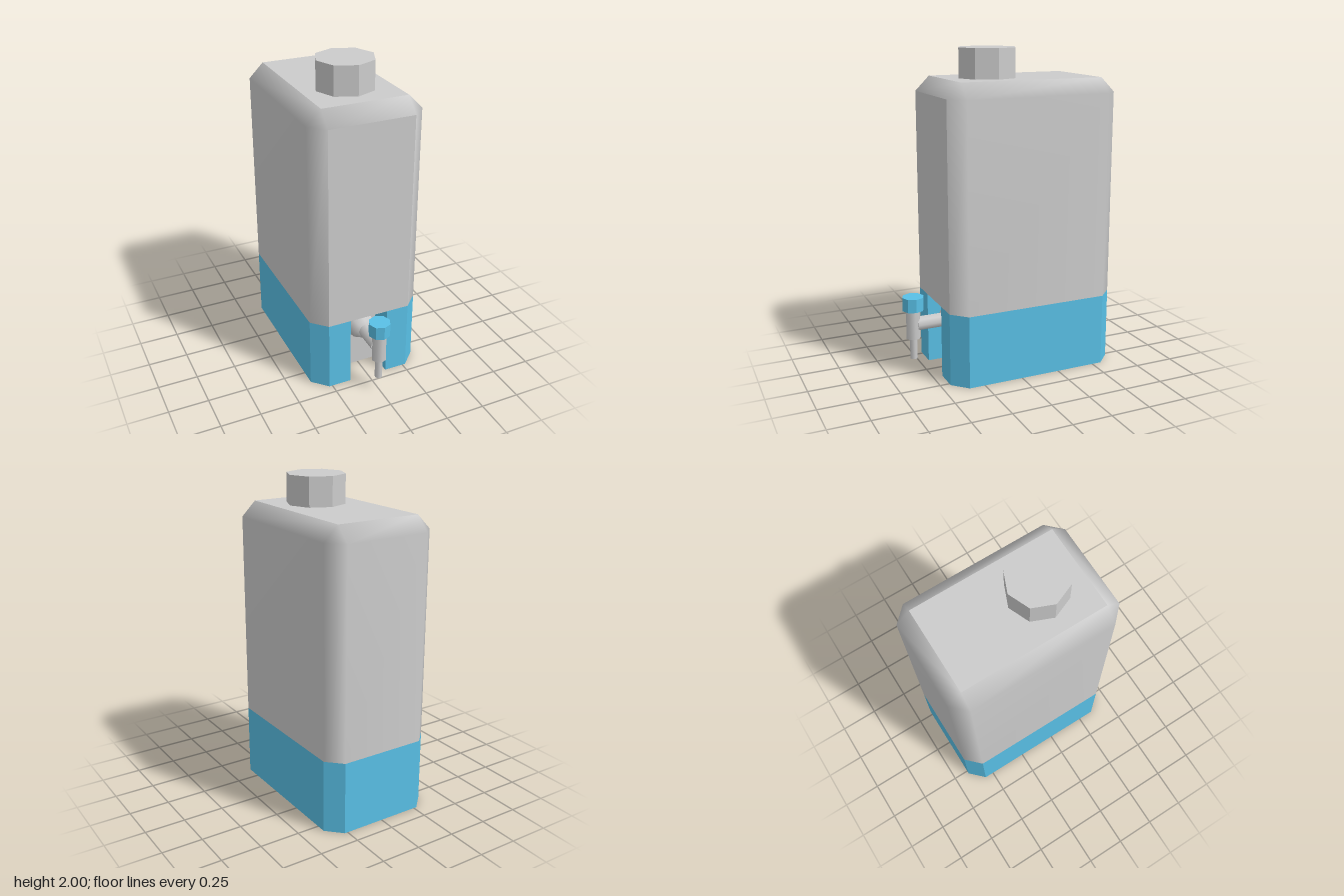
import * as THREE from 'three';

const GREY = 0xcccccc, BLUE = 0x59c0e6;
const W = 0.36, BACK = -0.65, FRONT = 0.44, C = 0.09; // tank half width, depth range, chamfer
const SPLIT = 0.455, SHOULDER = 1.73, TOP = 1.82;

function mat(color, flat = false) {
  return new THREE.MeshStandardMaterial({ color, flatShading: flat, side: THREE.DoubleSide });
}

function add(group, name, geometry, color = GREY, flat = false) {
  const mesh = new THREE.Mesh(geometry, mat(color, flat));
  mesh.name = name;
  group.add(mesh);
  return mesh;
}

// Octagonal upright cylinder between two heights, with corners on the axes
function post(group, name, r, y0, y1, z, color, flat) {
  const mesh = add(group, name, new THREE.CylinderGeometry(r, r, y1 - y0, 8), color, flat);
  mesh.position.set(0, (y0 + y1) / 2, z);
  return mesh;
}

// Chamfered walls and shoulders: each corner has two low, two high and one top point
function tankShell() {
  const pos = [], idx = [];
  const corners = [[1, 1], [1, -1], [-1, -1], [-1, 1]];
  corners.forEach(([sx, sz], i) => {
    const z = sz > 0 ? FRONT : BACK, zi = z - sz * C;
    let pair = [[sx * (W - C), z], [sx * W, zi]];
    if (i % 2) pair.reverse();
    for (const y of [SPLIT, SHOULDER]) pair.forEach(([px, pz]) => pos.push(px, y, pz));
    pos.push(sx * (W - C), TOP, zi);
  });
  for (let i = 0; i < 4; i++) {
    const a = i * 5, b = ((i + 1) % 4) * 5;
    // corner chamfer and its shoulder triangle
    idx.push(a, a + 1, a + 3, a, a + 3, a + 2, a + 2, a + 3, a + 4);
    // wall to the next corner (the front wall is a separate flat panel)
    if (i !== 3) idx.push(a + 1, b, b + 2, a + 1, b + 2, a + 3);
    // sloped shoulder
    idx.push(a + 3, b + 2, b + 4, a + 3, b + 4, a + 4);
  }
  const g = new THREE.BufferGeometry();
  g.setAttribute('position', new THREE.Float32BufferAttribute(pos, 3));
  g.setIndex(idx);
  g.computeVertexNormals();
  return g;
}

// Base outline with chamfered corners and a notch at the front
function baseGeometry() {
  const n = 0.125, inner = 0.28;
  const half = [[n, inner], [n, FRONT], [W - C, FRONT], [W, FRONT - C], [W, BACK + C], [W - C, BACK]];
  const outline = [...half, ...half.map(([x, z]) => [-x, z]).reverse()];
  const shape = new THREE.Shape(outline.map(([x, z]) => new THREE.Vector2(x, -z)));
  const g = new THREE.ExtrudeGeometry(shape, { depth: SPLIT, bevelEnabled: false });
  return g.rotateX(-Math.PI / 2);
}

export function createModel() {
  const model = new THREE.Group();
  model.name = 'dispenser';

  // Tank
  const tank = new THREE.Group();
  tank.name = 'tank';
  model.add(tank);
  add(tank, 'tankShell', tankShell());
  const front = add(tank, 'frontPanel', new THREE.PlaneGeometry(2 * (W - C), SHOULDER - SPLIT));
  front.position.set(0, (SHOULDER + SPLIT) / 2, FRONT);
  const lid = add(tank, 'topPanel', new THREE.PlaneGeometry(2 * (W - C), FRONT - BACK - 2 * C).rotateX(-Math.PI / 2));
  lid.position.set(0, TOP, (FRONT + BACK) / 2);
  post(tank, 'cap', 0.182, TOP, 2, 0.077, GREY, true);

  // Base with tap recess
  add(model, 'base', baseGeometry(), BLUE, true);
  const recess = add(model, 'recessBack', new THREE.PlaneGeometry(0.25, SPLIT));
  recess.position.set(0, SPLIT / 2, 0.283);
  const ceiling = add(model, 'recessCeiling', new THREE.PlaneGeometry(0.25, 0.16).rotateX(Math.PI / 2));
  ceiling.position.set(0, SPLIT, 0.36);

  // Tap
  const tap = new THREE.Group();
  tap.name = 'tap';
  model.add(tap);
  const ball = add(tap, 'tapMount', new THREE.SphereGeometry(0.09, 8, 8).rotateX(Math.PI / 2));
  ball.position.set(0, 0.32, 0.32);
  const pipe = add(tap, 'tapPipe', new THREE.CylinderGeometry(0.046, 0.046, 0.26, 8).rotateX(Math.PI / 2));
  pipe.position.set(0, 0.32, 0.43);
  post(tap, 'tapBody', 0.045, 0.23, 0.415, 0.58, GREY, false);
  post(tap, 'spout', 0.024, 0.095, 0.23, 0.58, GREY, false);
  post(tap, 'tapKnob', 0.068, 0.415, 0.5, 0.578, BLUE, true);

  return model;
}
